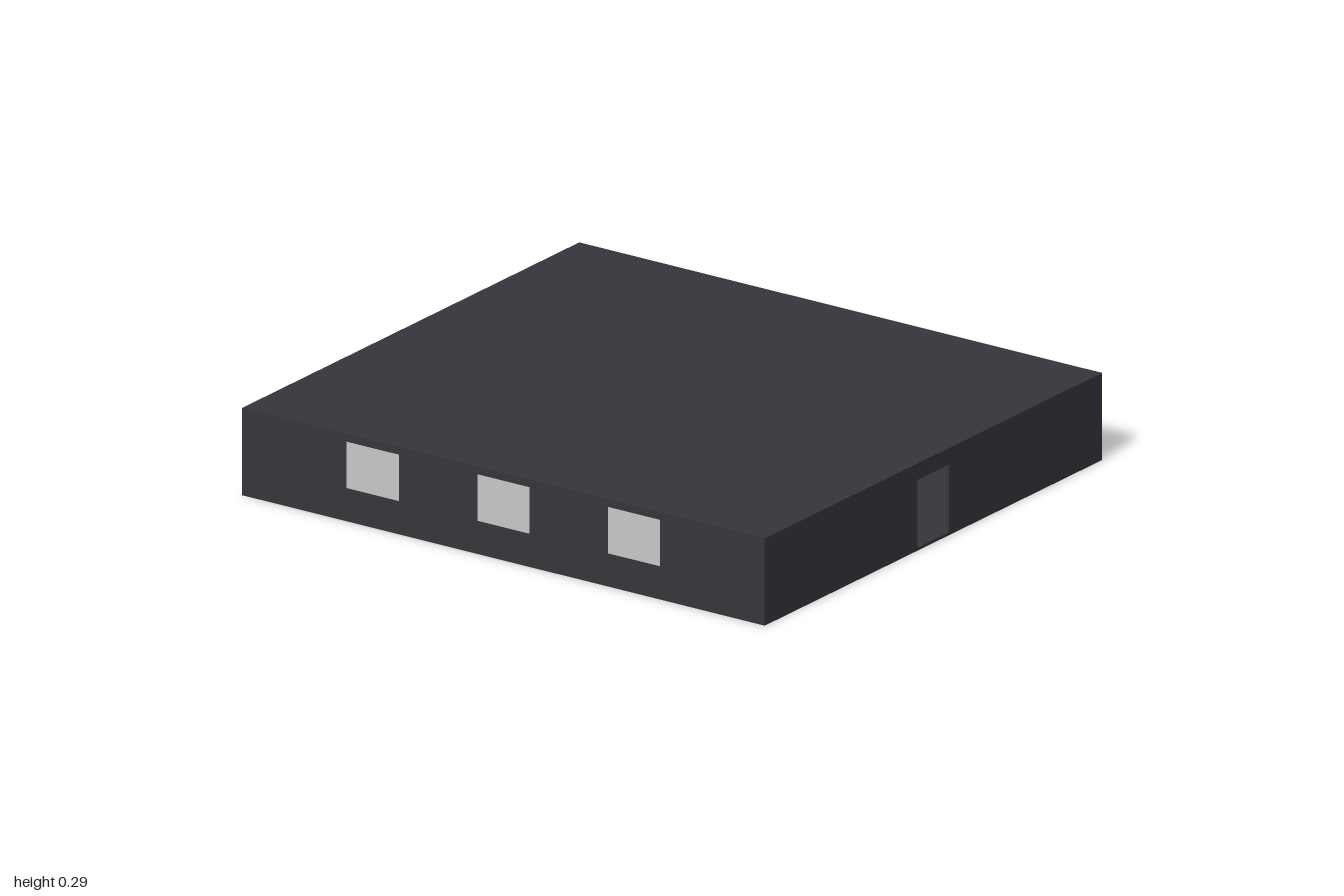
import * as THREE from 'three';

const W = 2, D = 1.81, H = 0.29, T = 0.01; // outer size and wall thickness

export function createModel() {
  const model = new THREE.Group();
  model.name = 'building';
  const concrete = new THREE.MeshStandardMaterial({ color: 0x37353b });
  concrete.name = 'dark concrete';
  const glass = new THREE.MeshStandardMaterial({ color: 0xc8c8c8 });
  glass.name = 'pale glass';

  const add = (parent, name, geometry, material, x = 0, y = 0, z = 0) => {
    const mesh = new THREE.Mesh(geometry, material);
    mesh.name = name;
    mesh.position.set(x, y, z);
    parent.add(mesh);
    return mesh;
  };
  const rect = (P, x0, y0, x1, y1) => new P([
    new THREE.Vector2(x0, y0), new THREE.Vector2(x1, y0),
    new THREE.Vector2(x1, y1), new THREE.Vector2(x0, y1),
  ]);
  const extrude = (shape) => new THREE.ExtrudeGeometry(shape, { depth: T, bevelEnabled: false });

  // Floor and roof slabs
  add(model, 'floor', new THREE.BoxGeometry(W, T, D), concrete, 0, T / 2, 0);
  add(model, 'roof', new THREE.BoxGeometry(W, T, D), concrete, 0, H - T / 2, 0);

  // Front and back walls, each with three glazed openings
  const winW = 0.2, winY0 = 0.11, winY1 = 0.265;
  for (const [side, turn] of [['front', 0], ['back', Math.PI]]) {
    const group = new THREE.Group();
    group.name = side + 'Facade';
    group.rotation.y = turn;
    const shape = rect(THREE.Shape, -W / 2, T, W / 2, H - T);
    for (const x of [-0.5, 0, 0.5]) {
      shape.holes.push(rect(THREE.Path, x - winW / 2, winY0, x + winW / 2, winY1));
      add(group, side + 'Window', new THREE.BoxGeometry(winW, winY1 - winY0, 0.008), glass,
        x, (winY0 + winY1) / 2, D / 2 - 0.005);
    }
    add(group, side + 'Wall', extrude(shape), concrete, 0, 0, D / 2 - T);
    model.add(group);
  }

  // Left wall with an open doorway
  const d = D / 2 - T, doorW = 0.17, doorH = 0.235;
  const doorWall = new THREE.Shape([
    [-d, T], [-doorW / 2, T], [-doorW / 2, doorH], [doorW / 2, doorH],
    [doorW / 2, T], [d, T], [d, H - T], [-d, H - T],
  ].map(([x, y]) => new THREE.Vector2(x, y)));
  add(model, 'doorWall', extrude(doorWall), concrete, W / 2 - T).rotation.y = Math.PI / 2;

  // Plain wall opposite the doorway
  add(model, 'plainWall', new THREE.BoxGeometry(T, H - 2 * T, 2 * d), concrete, -W / 2 + T / 2, H / 2, 0);

  return model;
}
